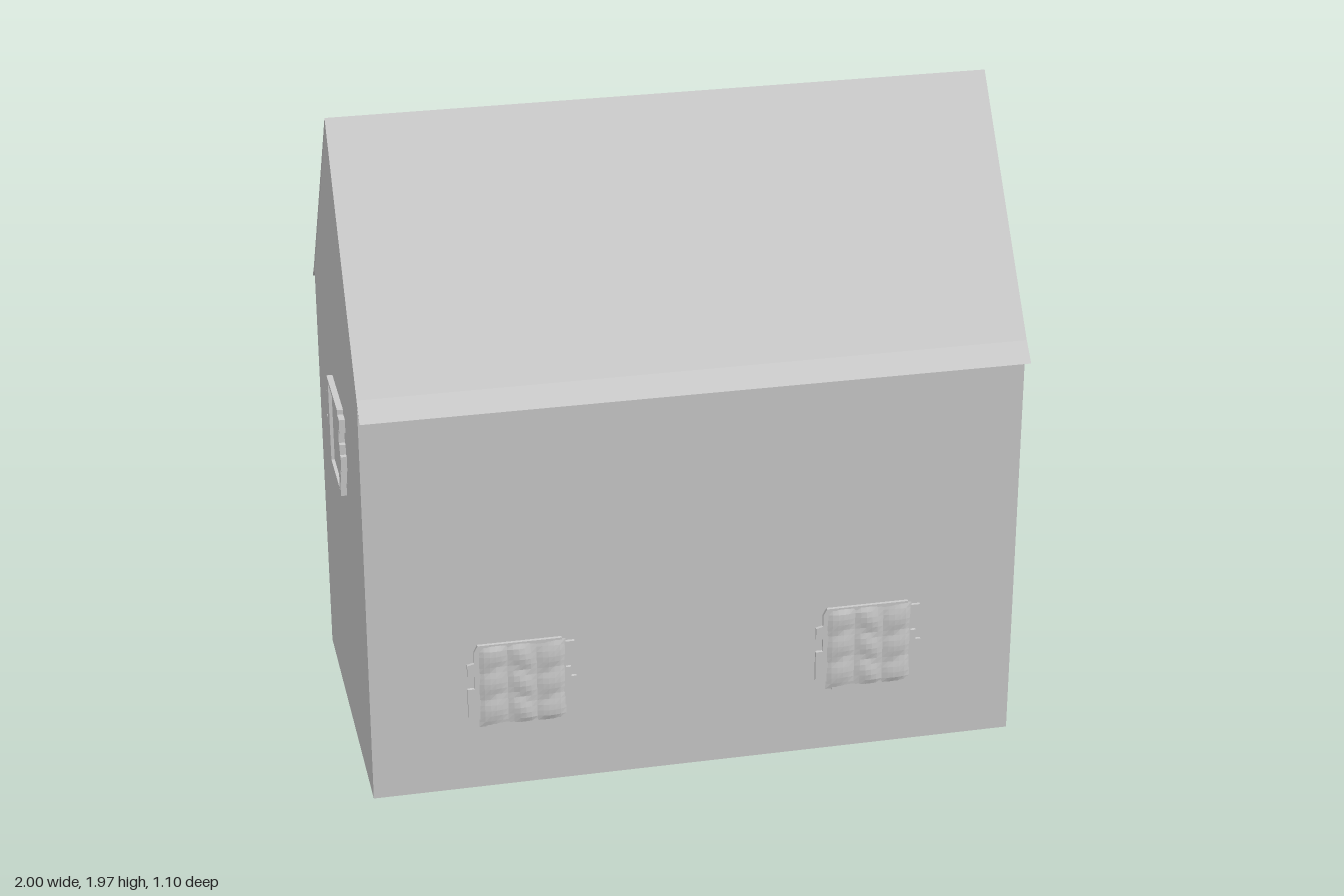
import * as THREE from 'three';

const grey = new THREE.MeshStandardMaterial({ color: 0xcccccc, flatShading: true, side: THREE.DoubleSide });
const LENGTH = 1.96, WALL_X = 0.98, WALL_Z = 0.495, DEPTH = 0.018;

function mesh(geometry, name) {
  const m = new THREE.Mesh(geometry, grey);
  m.name = name;
  return m;
}

const toShape = (pts) => new THREE.Shape(pts.map(([x, y]) => new THREE.Vector2(x, y)));

// A cross-section in (z, y), swept along the length of the house
function sweepAlongX(half, name) {
  const other = half.filter(([z]) => z !== 0).map(([z, y]) => [-z, y]).reverse();
  const geometry = new THREE.ExtrudeGeometry(toShape([...half, ...other]), { depth: LENGTH, bevelEnabled: false });
  geometry.translate(0, 0, -LENGTH / 2).rotateY(Math.PI / 2);
  return mesh(geometry, name);
}

// Ragged outline of the stones around a window, centred on its middle
const OUTLINE = [
  [-0.11, -0.14], [0.125, -0.14], [0.125, -0.09], [0.145, -0.09], [0.145, -0.043], [0.163, -0.043],
  [0.163, 0.005], [0.147, 0.005], [0.147, 0.037], [0.131, 0.037], [0.131, 0.08], [0.158, 0.08],
  [0.158, 0.123], [0.12, 0.123], [0.12, 0.138], [-0.131, 0.138], [-0.142, 0.117], [-0.142, 0.08],
  [-0.163, 0.075], [-0.163, 0.037], [-0.142, 0.037], [-0.142, -0.005], [-0.163, -0.005],
  [-0.163, -0.102], [-0.11, -0.112],
];

// Open window: stone surround with a thin inner frame and a recessed pane
function openWindow() {
  const g = new THREE.Group();
  const shape = toShape(OUTLINE);
  shape.holes.push(toShape([[-0.1, -0.127], [-0.1, 0.127], [0.1, 0.127], [0.1, -0.127]]));
  g.add(mesh(new THREE.ExtrudeGeometry(shape, { depth: DEPTH, bevelEnabled: false }), 'windowSurround'));
  const pane = mesh(new THREE.BoxGeometry(0.2, 0.254, 0.008), 'windowPane');
  pane.position.z = 0.004;
  g.add(pane);
  return g;
}

// Walled-up window: the same outline filled with rough stones, three by three
function stoneWindow() {
  const g = new THREE.Group();
  g.add(mesh(new THREE.ExtrudeGeometry(toShape(OUTLINE), { depth: 0.01, bevelEnabled: false }), 'stoneBacking'));
  const face = new THREE.PlaneGeometry(0.262, 0.27, 15, 15);
  const p = face.attributes.position;
  for (let i = 0; i < p.count; i++) {
    const x = p.getX(i), y = p.getY(i);
    const stone = Math.abs(Math.cos(x * 36) * Math.cos(y * 35 + Math.sin(x * 30) * 0.6));
    const edge = Math.abs(x) > 0.13 || Math.abs(y) > 0.134;
    p.setZ(i, edge ? 0.009 : 0.011 + 0.007 * stone);
  }
  face.computeVertexNormals();
  g.add(mesh(face, 'roughStones'));
  return g;
}

export function createModel() {
  const house = new THREE.Group();
  house.name = 'house';

  // Walls with gables, and a thin roof with flared eaves
  house.add(sweepAlongX([[0, 1.957], [-WALL_Z, 1.297], [-WALL_Z, 0]], 'walls'));

  const roofShape = [
    [0, 1.965], [-0.5, 1.305], [-0.55, 1.252], [-0.492, 1.295], [0, 1.95],
    [0.492, 1.295], [0.55, 1.252], [0.5, 1.305],
  ];
  const roof = new THREE.ExtrudeGeometry(toShape(roofShape), { depth: LENGTH + 0.002, bevelEnabled: false });
  roof.translate(0, 0, -LENGTH / 2 - 0.001).rotateY(Math.PI / 2);
  house.add(mesh(roof, 'roof'));

  function place(win, name, x, y, z, turn) {
    win.name = name;
    win.position.set(x, y, z);
    win.rotation.y = turn;
    house.add(win);
  }

  // Ground floor windows front and back, upper windows at the back and on each gable
  for (const s of [-1, 1]) {
    const x = s * 0.528;
    place(stoneWindow(), 'frontStoneWindow', x, 0.345, WALL_Z, 0);
    place(stoneWindow(), 'backStoneWindow', x, 0.345, -WALL_Z, Math.PI);
    place(openWindow(), 'backUpperWindow', x, 0.97, -WALL_Z, Math.PI);
    place(openWindow(), 'gableWindow', s * WALL_X, 0.97, 0.012, s * Math.PI / 2);
  }
  return house;
}
